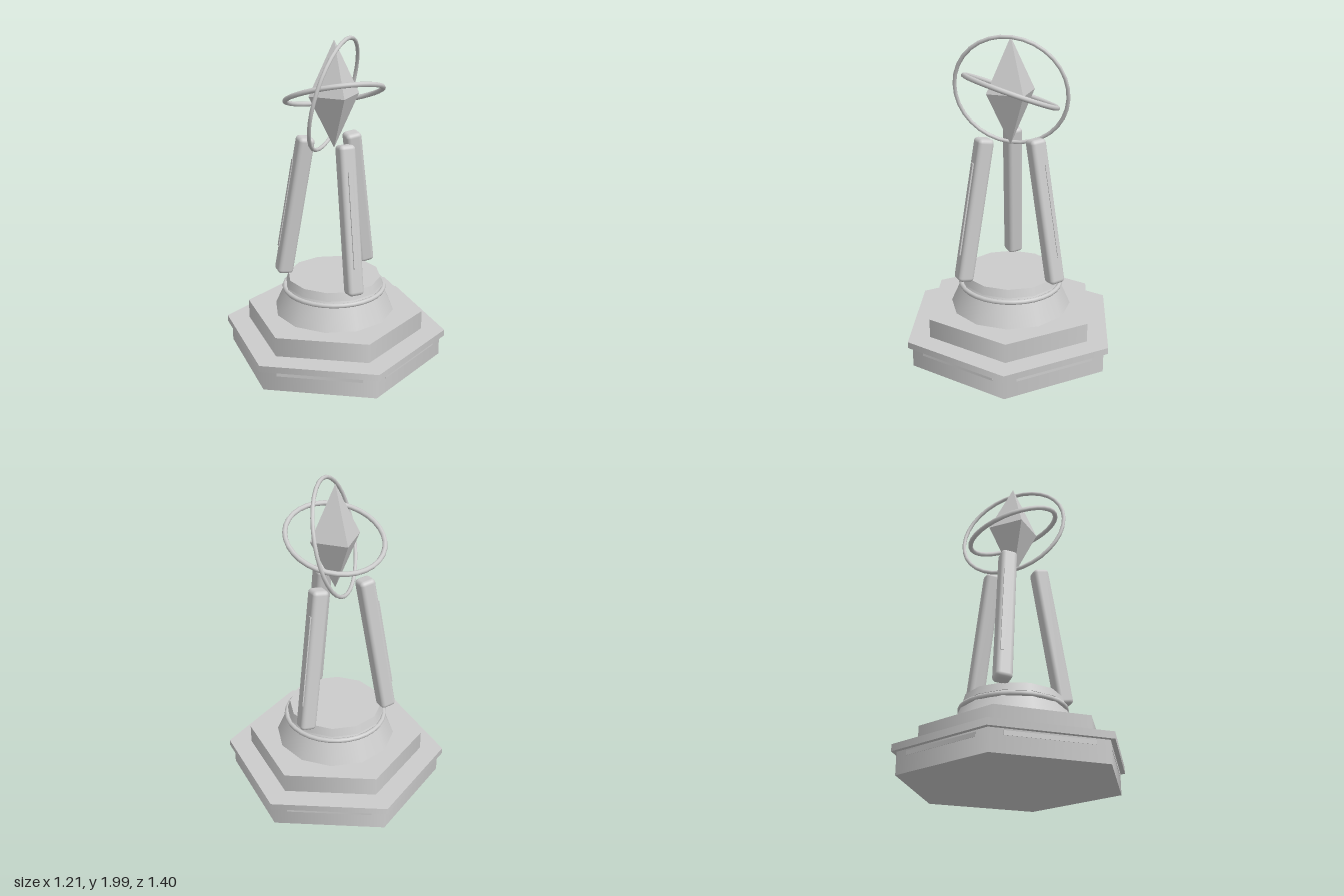
import * as THREE from 'three';
import { RoundedBoxGeometry } from 'three/addons/geometries/RoundedBoxGeometry.js';

export function createModel() {
  const model = new THREE.Group();
  model.name = 'crystalMonument';

  const stone = new THREE.MeshStandardMaterial({ color: 0xcccccc });
  stone.name = 'paleGrey';
  const facets = new THREE.MeshStandardMaterial({ color: 0xcccccc, flatShading: true });
  facets.name = 'paleGreyFaceted';

  function add(name, geometry, parent = model, material = stone) {
    const mesh = new THREE.Mesh(geometry, material);
    mesh.name = name;
    parent.add(mesh);
    return mesh;
  }

  // A stacked tier between two heights
  function tier(name, rBottom, rTop, y0, y1, sides) {
    const mesh = add(name, new THREE.CylinderGeometry(rTop, rBottom, y1 - y0, sides));
    mesh.position.y = (y0 + y1) / 2;
  }

  // A ring whose axis points along the given normal
  function ring(name, radius, tube, y, normal) {
    const mesh = add(name, new THREE.TorusGeometry(radius, tube, 8, 32));
    mesh.position.y = y;
    mesh.quaternion.setFromUnitVectors(new THREE.Vector3(0, 0, 1), normal.normalize());
  }

  // Hexagonal plinth and round pedestal
  tier('basePlinth', 0.67, 0.67, 0, 0.13, 6);
  tier('baseTrim', 0.7, 0.7, 0.13, 0.17, 6);
  tier('upperPlinth', 0.555, 0.555, 0.17, 0.29, 6);
  tier('pedestalCone', 0.375, 0.3, 0.29, 0.46, 12);
  tier('pedestalCap', 0.305, 0.29, 0.46, 0.51, 12);
  ring('pedestalRing', 0.31, 0.015, 0.437, new THREE.Vector3(0, 1, 0));

  // Thin strips under the trim, one on each side of the plinth
  const apothem = 0.67 * Math.cos(Math.PI / 6);
  for (let i = 0; i < 6; i++) {
    const a = Math.PI / 6 + (i * Math.PI) / 3;
    const strip = add('plinthStrip', new THREE.BoxGeometry(0.51, 0.025, 0.004));
    strip.position.set(Math.sin(a) * apothem, 0.108, Math.cos(a) * apothem);
    strip.rotation.y = a;
  }

  // Three pillars leaning inward, each with a narrow outer strip
  for (let i = 0; i < 3; i++) {
    const a = (i * Math.PI * 2) / 3;
    const s = Math.sin(a), c = Math.cos(a);
    const pillar = new THREE.Group();
    pillar.name = 'pillar';
    pillar.position.set(s * 0.247, 0.949, c * 0.247);
    pillar.rotation.set(-0.17 * c, 0, 0.17 * s);
    add('pillarBody', new RoundedBoxGeometry(0.1, 0.895, 0.1, 3, 0.025), pillar);
    const strip = add('pillarStrip', new THREE.BoxGeometry(0.025, 0.575, 0.02), pillar);
    strip.position.set(s * 0.049, 0.006, c * 0.049);
    model.add(pillar);
  }

  // Floating crystal with two tilted rings around it
  const crystal = add('crystal', new THREE.OctahedronGeometry(0.16), model, facets);
  crystal.scale.y = 2;
  crystal.position.y = 1.65;
  ring('levelRing', 0.29, 0.015, 1.65, new THREE.Vector3(0, 0.565, -0.225));
  ring('uprightRing', 0.343, 0.012, 1.65, new THREE.Vector3(0.72, -0.25, 0.64));

  return model;
}
